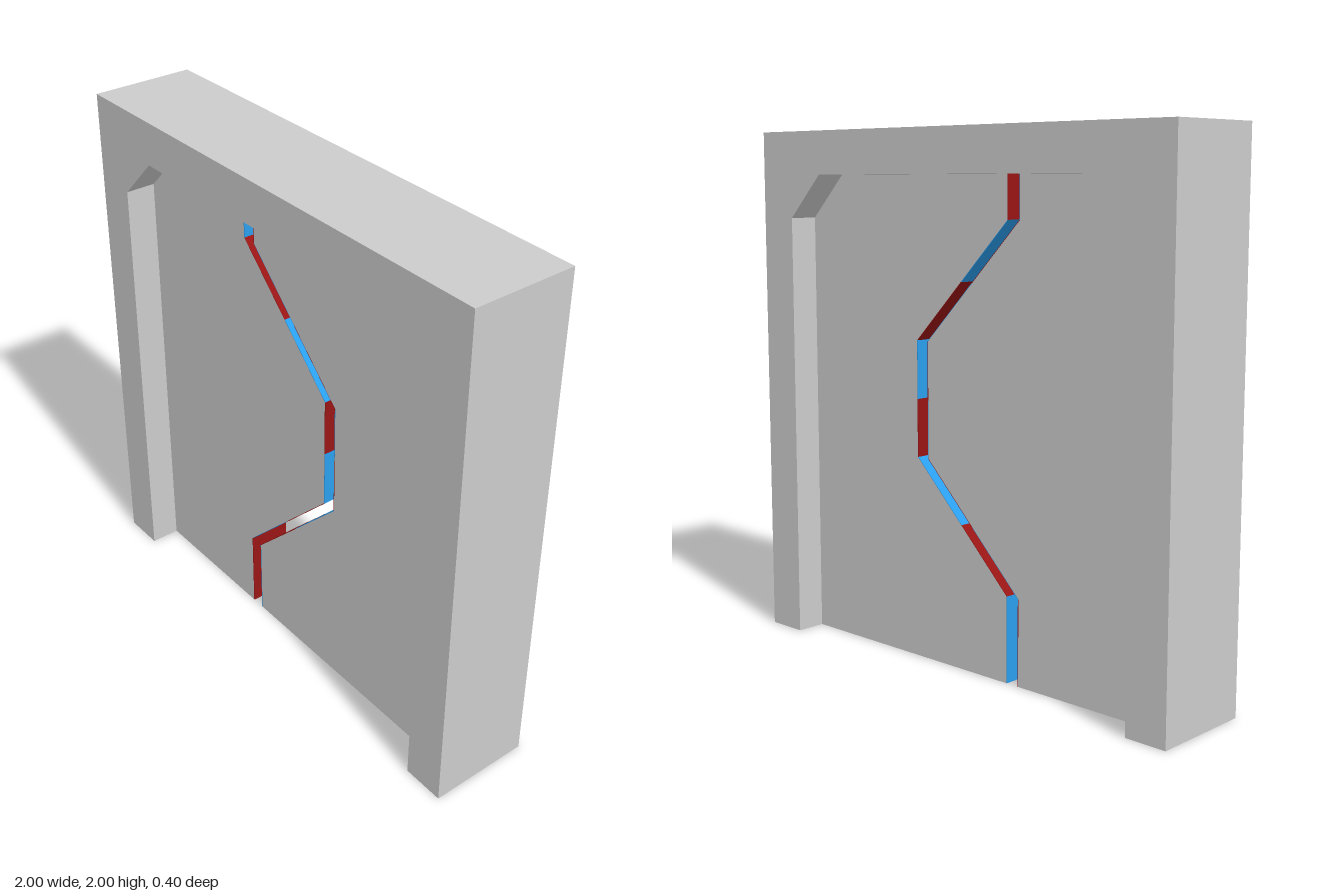
import * as THREE from 'three';

const grey = new THREE.MeshStandardMaterial({ color: 0xcccccc, flatShading: true });
const red = new THREE.MeshStandardMaterial({ color: 0x991515, flatShading: true });
const blue = new THREE.MeshStandardMaterial({ color: 0x2a9fee, flatShading: true });

const INNER_X = 0.835, INNER_TOP = 1.835, CHAMFER = 0.167;
const FRAME_DEPTH = 0.4, DOOR_DEPTH = 0.167;
const LINING = 0.003; // thickness of the coloured edge strips

// Zigzag split line between the leaves, from top to bottom
const split = [
  [-0.228, INNER_TOP], [-0.228, 1.677], [0.228, 1.223],
  [0.228, 0.78], [-0.228, 0.327], [-0.228, 0],
];
const HALF_GAP = 0.026;

// Prism from an outline, centred on z = 0
function slab(name, points, depth, material) {
  const shape = new THREE.Shape(points.map(([x, y]) => new THREE.Vector2(x, y)));
  const geometry = new THREE.ExtrudeGeometry(shape, { depth, bevelEnabled: false });
  geometry.translate(0, 0, -depth / 2);
  const mesh = new THREE.Mesh(geometry, material);
  mesh.name = name;
  return mesh;
}

// side = 1 for the left leaf (+x), -1 for the right leaf (-x)
function doorLeaf(name, side, firstColor, secondColor) {
  const leaf = new THREE.Group();
  leaf.name = name;
  const edge = split.map(([x, y]) => [x + side * HALF_GAP, y]);
  const inset = edge.map(([x, y]) => [x + side * LINING, y]);

  leaf.add(slab('leafPanel', [
    ...inset,
    [side * INNER_X, 0],
    [side * INNER_X, INNER_TOP - CHAMFER],
    [side * (INNER_X - CHAMFER), INNER_TOP],
  ], DOOR_DEPTH, grey));

  // Stretches of alternating colour: end runs stay whole, the others are halved
  const stops = [edge[0]];
  for (let i = 1; i < edge.length; i++) {
    const [a, b] = [edge[i - 1], edge[i]];
    if (i > 1 && i < edge.length - 1) stops.push([(a[0] + b[0]) / 2, (a[1] + b[1]) / 2]);
    stops.push(b);
  }
  for (let i = 1; i < stops.length; i++) {
    const [a, b] = [stops[i - 1], stops[i]];
    leaf.add(slab('edgeStrip', [
      a, b, [b[0] + side * LINING, b[1]], [a[0] + side * LINING, a[1]],
    ], DOOR_DEPTH, i % 2 ? firstColor : secondColor));
  }
  return leaf;
}

export function createModel() {
  const model = new THREE.Group();
  model.name = 'slidingDoor';

  // Surrounding frame with chamfered upper inside corners
  model.add(slab('frame', [
    [-1, 0], [-INNER_X, 0], [-INNER_X, INNER_TOP - CHAMFER],
    [-INNER_X + CHAMFER, INNER_TOP], [INNER_X - CHAMFER, INNER_TOP],
    [INNER_X, INNER_TOP - CHAMFER], [INNER_X, 0], [1, 0], [1, 2], [-1, 2],
  ], FRAME_DEPTH, grey));

  // Two interlocking leaves with opposite colour order
  model.add(doorLeaf('leftLeaf', 1, red, blue));
  model.add(doorLeaf('rightLeaf', -1, blue, red));
  return model;
}
